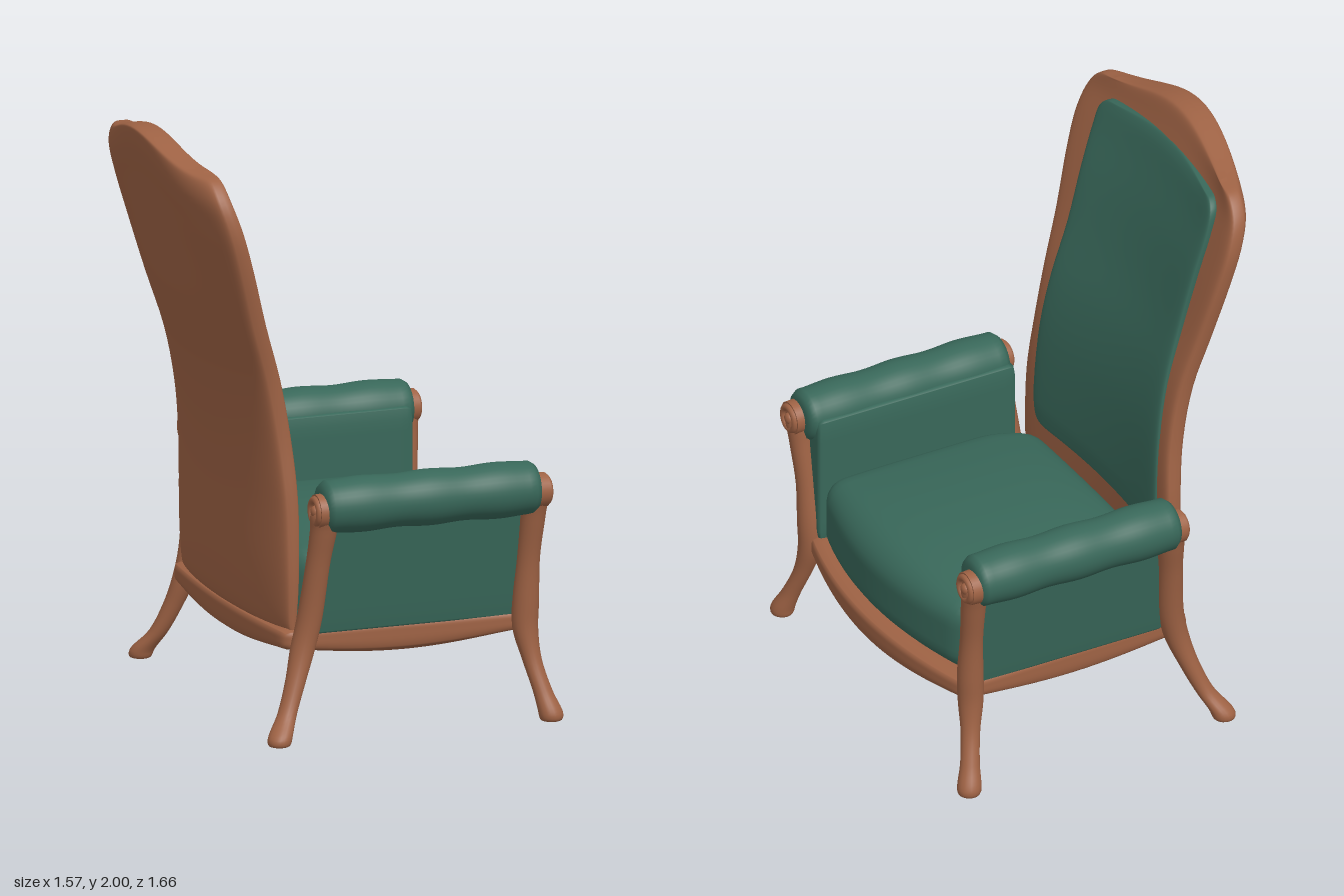
import * as THREE from 'three';
import { mergeVertices } from 'three/addons/utils/BufferGeometryUtils.js';

const wood = new THREE.MeshStandardMaterial({ color: 0x9e6244 });
wood.name = 'wood';
const fabric = new THREE.MeshStandardMaterial({ color: 0x386759 });
fabric.name = 'green fabric';

function part(name, geometry, material, x = 0, y = 0, z = 0) {
  const mesh = new THREE.Mesh(geometry, material);
  mesh.name = name;
  mesh.position.set(x, y, z);
  return mesh;
}

// Closed surface of horizontal rings stacked upward; fn(angle, t) gives [x, y, z].
function loft(around, rows, fn) {
  const pos = [], index = [];
  for (let j = 0; j <= rows; j++)
    for (let i = 0; i < around; i++) pos.push(...fn((i / around) * Math.PI * 2, j / rows));
  for (let j = 0; j < rows; j++)
    for (let i = 0; i < around; i++) {
      const a = j * around + i, b = j * around + ((i + 1) % around);
      index.push(a, a + around, b, b, a + around, b + around);
    }
  const g = new THREE.BufferGeometry();
  g.setAttribute('position', new THREE.Float32BufferAttribute(pos, 3));
  g.setIndex(index);
  g.computeVertexNormals();
  return g;
}

const curve = (pts) => new THREE.CatmullRomCurve3(pts.map((p) => new THREE.Vector3(...p)));

// Upright curved slab; profile points are [half width, height, depth at the edges].
function slab(profile, thick, bowLow, bowHigh, hump) {
  const c = curve(profile);
  return loft(72, 64, (a, v) => {
    const t = (1 - Math.cos(Math.PI * v)) / 2;
    const p = c.getPoint(t);
    const u = Math.cos(a), s = Math.sin(a);
    const round = Math.pow(Math.max(0, Math.sin(Math.PI * v)), 0.45);
    const x = u * p.x;
    const bow = (bowLow + (bowHigh - bowLow) * t) * (1 - u * u);
    const crest = 0.5 + 0.5 * Math.cos(Math.PI * Math.min(1, Math.abs(x) / 0.42));
    const y = p.y + hump * crest * THREE.MathUtils.smoothstep(p.y, 1.4, 1.9);
    return [x, y, p.z - bow + Math.sign(s) * Math.pow(Math.abs(s), 0.45) * thick * 0.5 * round];
  });
}

// Box with rounded edges, reshaped by warp(point, a, b, c) with a, b, c in -1..1.
function softBox(w, h, d, r, warp) {
  let g = new THREE.BoxGeometry(w, h, d, 32, 12, 32);
  g.deleteAttribute('normal');
  g.deleteAttribute('uv');
  g = mergeVertices(g);
  const pos = g.attributes.position, p = new THREE.Vector3(), q = new THREE.Vector3();
  const inner = new THREE.Vector3(w / 2 - r, h / 2 - r, d / 2 - r);
  const low = inner.clone().negate();
  for (let i = 0; i < pos.count; i++) {
    p.fromBufferAttribute(pos, i);
    q.copy(p).clamp(low, inner);
    p.sub(q).setLength(r).add(q);
    warp(p, (2 * p.x) / w, (2 * p.y) / h, (2 * p.z) / d);
    pos.setXYZ(i, p.x, p.y, p.z);
  }
  g.computeVertexNormals();
  return g;
}

// Curved leg; rows are [x, y, z, radius] from the foot upward.
function leg(rows, side) {
  const path = curve(rows.map(([x, y, z]) => [x * side, y, z]));
  const size = curve(rows.map((p, i) => [p[3], i, 0]));
  return loft(20, 56, (a, t) => {
    const p = path.getPoint(t), r = Math.max(0, size.getPoint(t).x);
    return [p.x + Math.cos(a) * r, Math.max(0, p.y), p.z + Math.sin(a) * r];
  });
}

// Scroll head with ringed rosette, facing front (1) or back (-1).
function scroll(name, x, y, z, facing) {
  const g = new THREE.Group();
  g.name = name;
  const head = new THREE.CylinderGeometry(0.057, 0.062, 0.07, 32).rotateX(Math.PI / 2);
  const button = new THREE.SphereGeometry(0.02, 16, 10).scale(1, 1, 0.7);
  g.add(part('scrollHead', head, wood));
  g.add(part('rosetteRing', new THREE.TorusGeometry(0.04, 0.012, 10, 32), wood, 0, 0, 0.036));
  g.add(part('rosetteButton', button, wood, 0, 0, 0.038));
  g.position.set(x, y, z);
  if (facing < 0) g.rotation.y = Math.PI;
  return g;
}

export function createModel() {
  const chair = new THREE.Group();
  chair.name = 'armchair';

  // Tall backrest with camel-shaped crest and its upholstered panel
  chair.add(part('backFrame', slab([
    [0.495, 0.35, -0.36], [0.5, 0.55, -0.358], [0.488, 0.8, -0.36], [0.467, 1.0, -0.378],
    [0.465, 1.2, -0.415], [0.488, 1.4, -0.475], [0.517, 1.6, -0.53], [0.525, 1.74, -0.57],
    [0.5, 1.84, -0.6], [0.44, 1.905, -0.612], [0.36, 1.92, -0.615],
  ], 0.12, 0.04, 0.08, 0.08), wood));
  chair.add(part('backPanel', slab([
    [0.37, 0.63, -0.34], [0.405, 0.65, -0.34], [0.418, 0.72, -0.338], [0.408, 1.0, -0.355],
    [0.393, 1.2, -0.39], [0.383, 1.4, -0.448], [0.388, 1.6, -0.503], [0.392, 1.74, -0.547],
    [0.382, 1.82, -0.569], [0.35, 1.85, -0.58], [0.31, 1.855, -0.585],
  ], 0.07, 0.03, 0.055, 0.035), fabric));

  // Seat frame with bowed front and dipping aprons
  chair.add(part('seatFrame', softBox(1.07, 0.07, 0.86, 0.025, (p, a, b, c) => {
    p.x *= 0.98 + 0.02 * c;
    p.z += 0.03 + (c > 0 ? 0.085 : 0.03) * c * (1 - a * a);
    const dip = Math.pow(1 - Math.min(a * a, c * c), 1.5);
    p.y += 0.325 - (b < 0 ? 0.035 * -b * dip : 0);
  }), wood));

  // Low upholstered deck, then the domed cushion with rounded back corners
  chair.add(part('seatDeck', softBox(0.98, 0.06, 0.72, 0.025, (p) => {
    p.y += 0.375;
    p.z += 0.04;
  }), fabric));
  chair.add(part('seatCushion', softBox(0.98, 0.25, 0.78, 0.07, (p, a, b, c) => {
    const back = Math.max(0, (-c - 0.45) / 0.55);
    p.x *= 1 - 0.2 * back * back;
    p.z += 0.045 + Math.max(0, c) * 0.085 * (1 - a * a);
    p.y += 0.475 + (b > 0 ? b * 0.055 * (1 - a * a) * (1 - c * c * c * c) : 0);
  }), fabric));

  // Gently scalloped armrest roll
  const rollProfile = [[0, -0.3], [0.05, -0.3], [0.075, -0.292]];
  for (let i = 0; i <= 30; i++) {
    const t = i / 30;
    rollProfile.push([0.092 - 0.003 * Math.cos(6 * Math.PI * t), -0.275 + 0.72 * t]);
  }
  rollProfile.push([0.078, 0.462], [0.055, 0.47], [0, 0.47]);

  const frontLeg = [
    [0.64, 0, 0.505, 0], [0.64, 0.004, 0.505, 0.034], [0.638, 0.03, 0.503, 0.041],
    [0.61, 0.1, 0.485, 0.033], [0.571, 0.2, 0.462, 0.033], [0.547, 0.3, 0.448, 0.043],
    [0.547, 0.4, 0.449, 0.045], [0.562, 0.55, 0.453, 0.039], [0.588, 0.7, 0.46, 0.042],
    [0.603, 0.79, 0.462, 0.044], [0.603, 0.83, 0.462, 0],
  ];
  const backLeg = [
    [0.64, 0, -0.465, 0], [0.64, 0.004, -0.465, 0.034], [0.635, 0.03, -0.46, 0.041],
    [0.592, 0.1, -0.418, 0.033], [0.56, 0.2, -0.376, 0.035], [0.538, 0.3, -0.343, 0.042],
    [0.54, 0.4, -0.32, 0.043], [0.57, 0.6, -0.3, 0.041], [0.592, 0.72, -0.288, 0.046],
    [0.6, 0.78, -0.284, 0.048], [0.6, 0.83, -0.284, 0],
  ];

  for (const side of [1, -1]) {
    const label = side > 0 ? 'left' : 'right';
    const roll = new THREE.LatheGeometry(rollProfile.map((p) => new THREE.Vector2(...p)), 36);
    roll.rotateX(Math.PI / 2);
    chair.add(part(label + 'ArmRoll', roll, fabric, side * 0.587, 0.795, 0));
    // Upholstered side whose inner face runs up into the roll, flaring outside
    chair.add(part(label + 'ArmPanel', softBox(0.08, 0.47, 0.75, 0.02, (p, a, b) => {
      const outward = Math.max(0, a * side);
      p.x += side * (0.52 + 0.03 * b * outward);
      p.y += 0.58;
      p.z += 0.075;
    }), fabric));
    chair.add(part(label + 'FrontLeg', leg(frontLeg, side), wood));
    chair.add(part(label + 'BackLeg', leg(backLeg, side), wood));
    chair.add(scroll(label + 'FrontScroll', side * 0.603, 0.787, 0.462, 1));
    chair.add(scroll(label + 'BackScroll', side * 0.6, 0.785, -0.285, -1));
  }

  // The chair stands turned on the floor
  chair.rotation.y = THREE.MathUtils.degToRad(117);
  const model = new THREE.Group();
  model.name = 'model';
  model.add(chair);
  return model;
}
